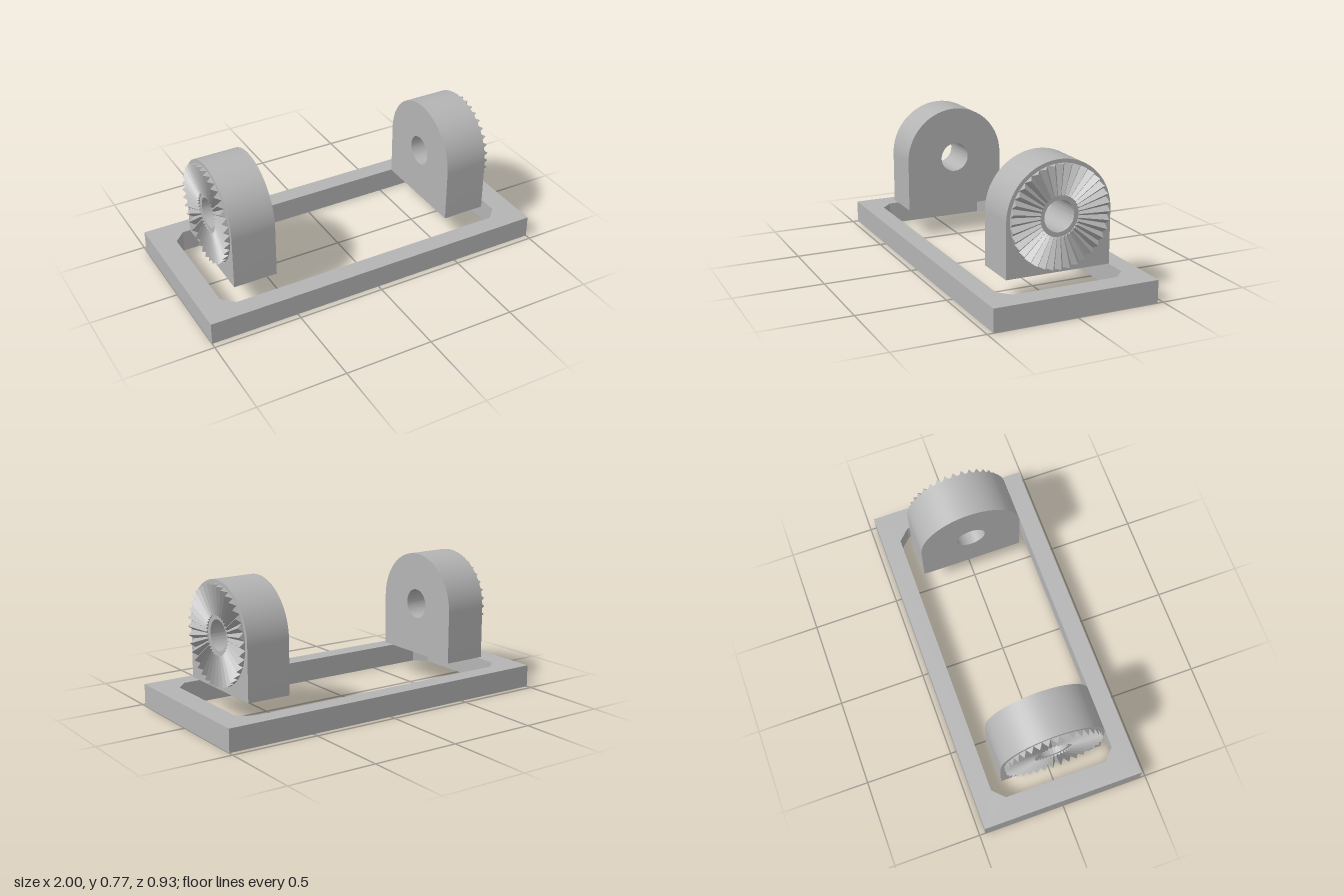
import * as THREE from 'three';
import { toCreasedNormals } from 'three/addons/utils/BufferGeometryUtils.js';

const AXIS_Y = 0.47, RADIUS = 0.297, BORE = 0.085;
const INNER_X = 0.537, FACE_X = 0.787;

// Rectangular rail with a chamfered opening
function frameGeometry() {
  const shape = new THREE.Shape();
  shape.moveTo(-1, -0.467).lineTo(1, -0.467).lineTo(1, 0.467).lineTo(-1, 0.467).closePath();
  const x = 0.872, z = 0.362, c = 0.065;
  const corners = [
    [x - c, -z], [x, c - z], [x, z - c], [x - c, z],
    [c - x, z], [-x, z - c], [-x, c - z], [c - x, -z],
  ];
  shape.holes.push(new THREE.Path(corners.map(([px, pz]) => new THREE.Vector2(px, pz)).reverse()));
  return new THREE.ExtrudeGeometry(shape, { depth: 0.127, bevelEnabled: false }).rotateX(-Math.PI / 2);
}

// Round-topped block with a through bore
function blockGeometry() {
  const shape = new THREE.Shape();
  shape.moveTo(-RADIUS, 0.173 - AXIS_Y);
  shape.lineTo(RADIUS, 0.173 - AXIS_Y);
  shape.lineTo(RADIUS, 0);
  shape.absarc(0, 0, RADIUS, 0, Math.PI, false);
  shape.closePath();
  const bore = new THREE.Path();
  bore.absarc(0, 0, BORE, 0, Math.PI * 2, true);
  shape.holes.push(bore);
  const geo = new THREE.ExtrudeGeometry(shape, {
    depth: FACE_X - INNER_X, bevelEnabled: false, curveSegments: 40,
  });
  return toCreasedNormals(geo.rotateY(Math.PI / 2), 0.5);
}

// Ring of radial wedge teeth whose ridges rise with the radius
function teethGeometry(count = 36, r0 = 0.11, r1 = 0.277, height = 0.034) {
  const points = [];
  const at = (r, a, h) => [h, r * Math.cos(a), r * Math.sin(a)];
  const tri = (...corners) => corners.forEach((p) => points.push(...p));
  const half = Math.PI / count;
  for (let i = 0; i < count; i++) {
    const a = i * 2 * half;
    const l0 = at(r0, a - half, 0), l1 = at(r1, a - half, 0);
    const n0 = at(r0, a + half, 0), n1 = at(r1, a + half, 0);
    const p0 = at(r0, a, height * r0 / r1), p1 = at(r1, a, height);
    tri(l0, l1, p1); tri(l0, p1, p0); // first flank
    tri(p0, p1, n1); tri(p0, n1, n0); // second flank
    tri(l1, n1, p1); // outer end
    tri(n0, l0, p0); // inner end
  }
  const geo = new THREE.BufferGeometry();
  geo.setAttribute('position', new THREE.Float32BufferAttribute(points, 3));
  geo.computeVertexNormals();
  return geo;
}

export function createModel() {
  const model = new THREE.Group();
  model.name = 'serratedMountSet';
  const grey = new THREE.MeshStandardMaterial({ color: 0xb4b4b4 });
  grey.name = 'plain grey';

  const add = (parent, geometry, name) => {
    const mesh = new THREE.Mesh(geometry, grey);
    mesh.name = name;
    parent.add(mesh);
    return mesh;
  };

  add(model, frameGeometry(), 'baseFrame');

  // Two matching mounts with their teeth facing outwards
  const block = blockGeometry(), teeth = teethGeometry();
  for (const side of ['left', 'right']) {
    const mount = new THREE.Group();
    mount.name = side + 'Mount';
    mount.position.y = AXIS_Y;
    if (side === 'right') mount.rotation.y = Math.PI;
    add(mount, block, side + 'Block').position.x = INNER_X;
    add(mount, teeth, side + 'Teeth').position.x = FACE_X;
    model.add(mount);
  }
  return model;
}
